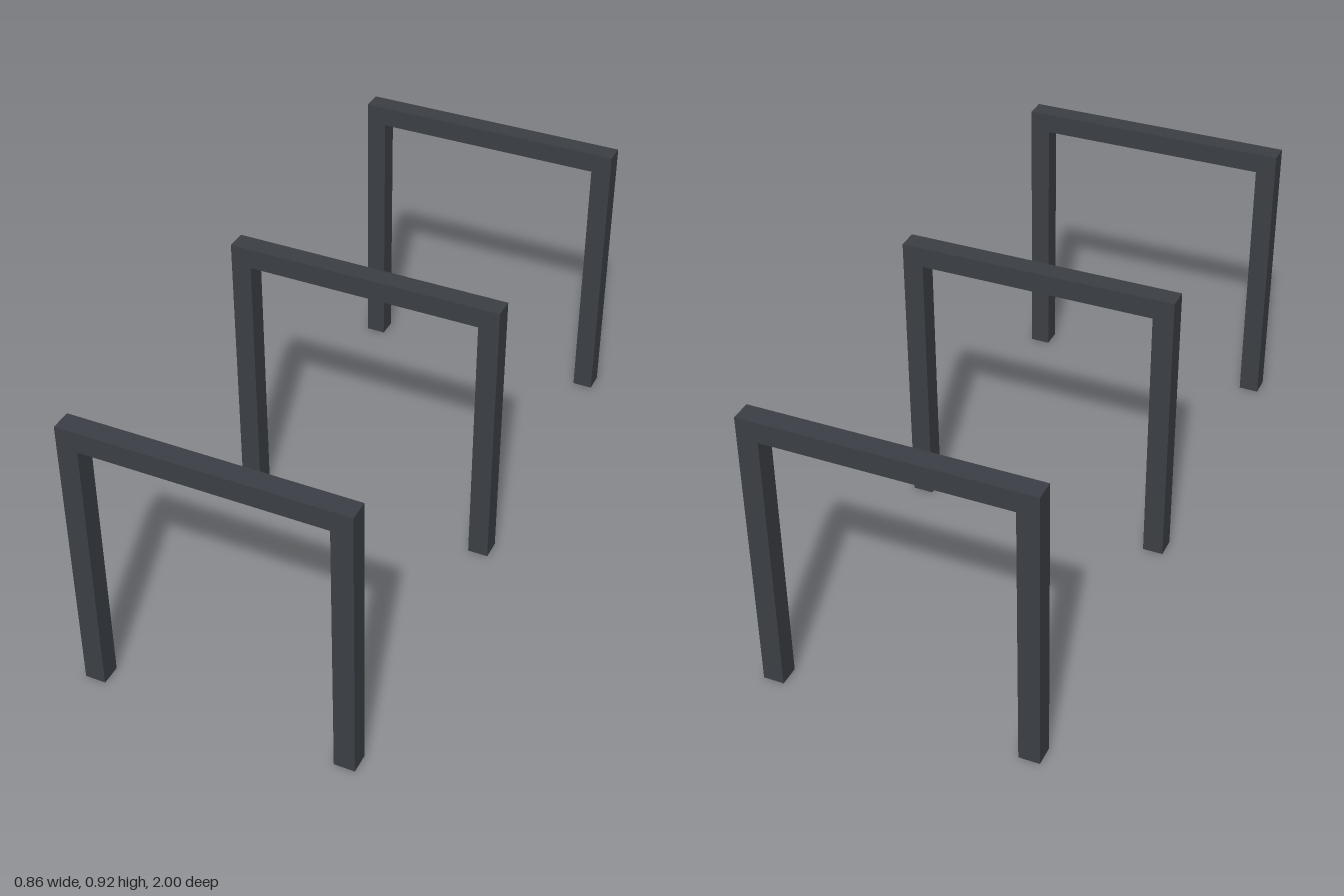
import * as THREE from 'three';

const HALF_WIDTH = 0.43;
const HEIGHT = 0.915;
const BAR = 0.064;   // bar width seen from the front
const DEPTH = 0.064; // bar depth along z

export function createModel() {
  const model = new THREE.Group();
  model.name = 'archFrames';

  const darkSteel = new THREE.MeshStandardMaterial({ color: 0x3b3f45 });
  darkSteel.name = 'darkSteel';

  // Square-cornered portal outline: two legs joined by a top beam
  const inner = HALF_WIDTH - BAR;
  const outline = new THREE.Shape([
    [-HALF_WIDTH, 0], [-inner, 0], [-inner, HEIGHT - BAR], [inner, HEIGHT - BAR],
    [inner, 0], [HALF_WIDTH, 0], [HALF_WIDTH, HEIGHT], [-HALF_WIDTH, HEIGHT],
  ].map(([x, y]) => new THREE.Vector2(x, y)));

  const geometry = new THREE.ExtrudeGeometry(outline, { depth: DEPTH, bevelEnabled: false });
  geometry.translate(0, 0, -DEPTH / 2);

  // Three identical frames, evenly spaced from back to front
  const endZ = 1 - DEPTH / 2;
  const frames = { backFrame: -endZ, middleFrame: 0, frontFrame: endZ };
  for (const [name, z] of Object.entries(frames)) {
    const frame = new THREE.Mesh(geometry, darkSteel);
    frame.name = name;
    frame.position.z = z;
    model.add(frame);
  }
  return model;
}
